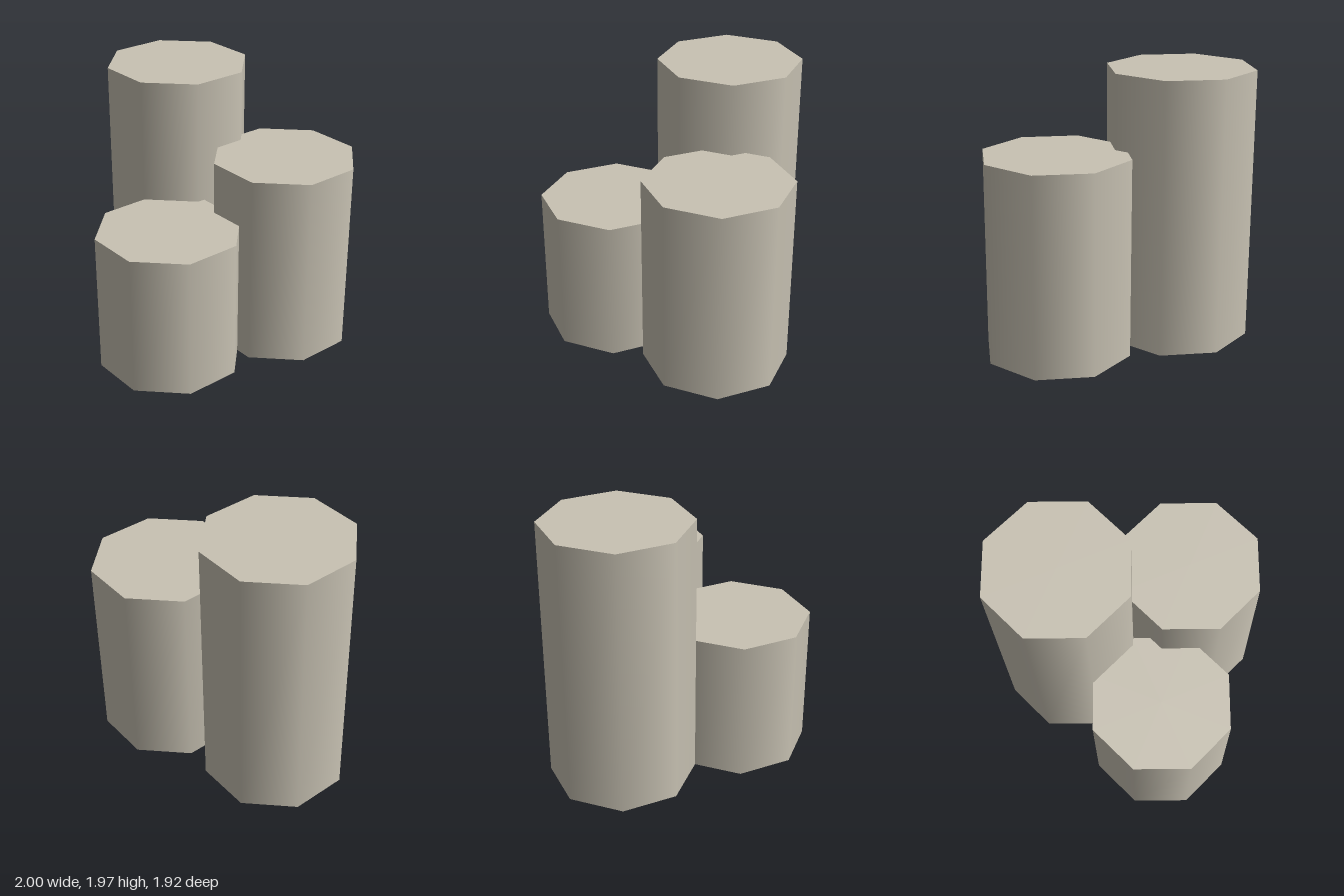
import * as THREE from 'three';

export function createModel() {
  const model = new THREE.Group();
  model.name = 'columnCluster';

  const stone = new THREE.MeshStandardMaterial({ color: 0xc8c2b3 });
  stone.name = 'paleStone';

  // Eight-sided column with smooth sides and flat caps, standing on the ground
  const radius = 0.532;
  function addColumn(name, x, z, height) {
    const column = new THREE.Mesh(new THREE.CylinderGeometry(radius, radius, height, 8), stone);
    column.name = name;
    column.position.set(x, height / 2, z);
    model.add(column);
  }

  addColumn('tallColumn', -0.468, -0.43, 1.968);
  addColumn('middleColumn', 0.468, -0.326, 1.437);
  addColumn('shortColumn', -0.07, 0.428, 1.05);

  return model;
}
